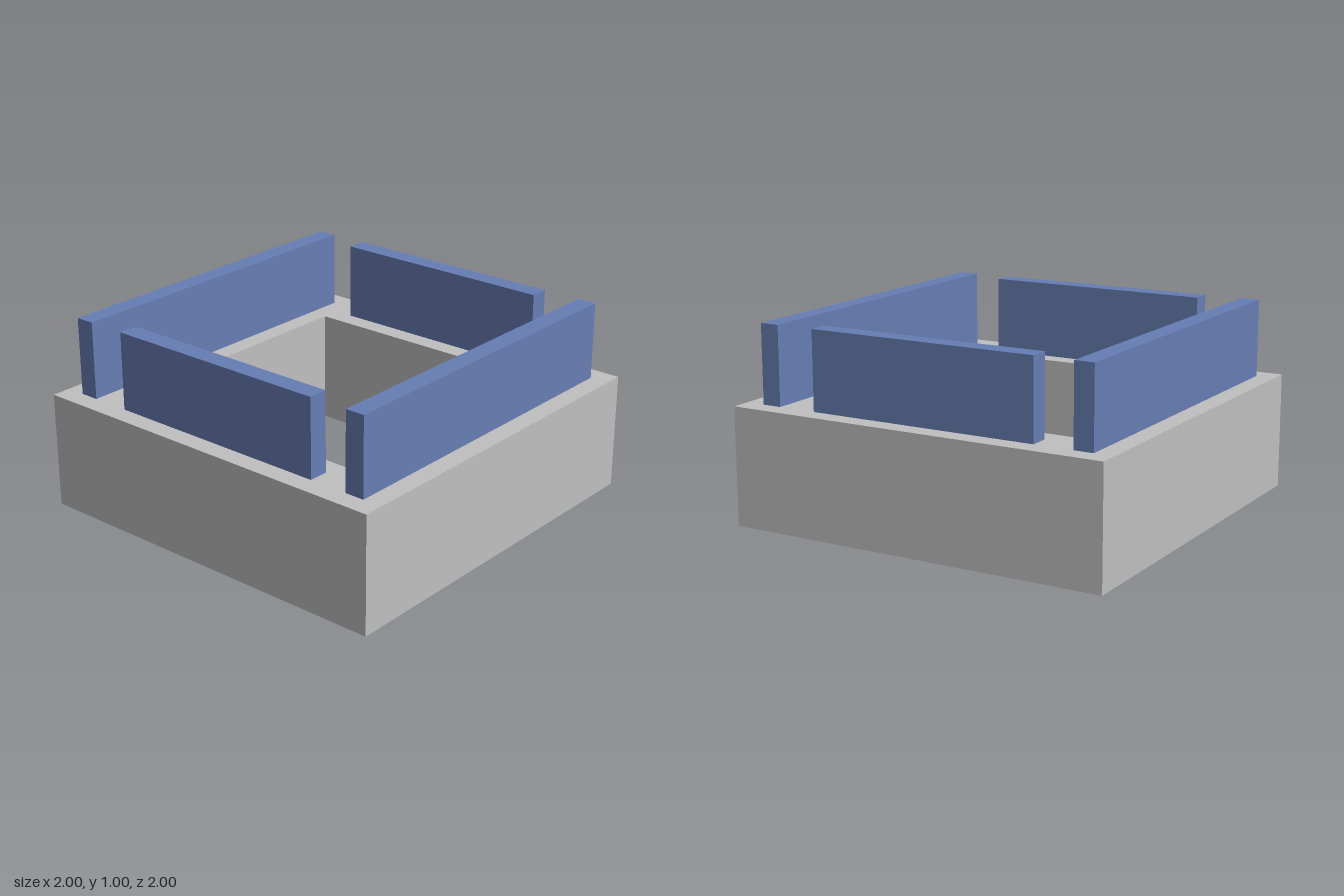
import * as THREE from 'three';

const FRAME_HEIGHT = 0.6;
const PANEL_HEIGHT = 1;

// Footprint of each upright panel: [name, x, z, width, depth]
const PANELS = [
  ['frontPanel', 0, 0.85, 1.8, 0.1],
  ['backPanel', 0, -0.85, 1.8, 0.1],
  ['leftPanel', 0.85, 0, 0.1, 1.2],
  ['rightPanel', -0.85, 0, 0.1, 1.2],
];

function rectangle(PathType, x, y, w, h) {
  return new PathType([
    new THREE.Vector2(x - w / 2, y - h / 2),
    new THREE.Vector2(x + w / 2, y - h / 2),
    new THREE.Vector2(x + w / 2, y + h / 2),
    new THREE.Vector2(x - w / 2, y + h / 2),
  ]);
}

export function createModel() {
  const model = new THREE.Group();
  model.name = 'slottedFrameWithPanels';

  const grey = new THREE.MeshStandardMaterial({ color: 0xc0c0c0 });
  grey.name = 'light grey';
  const blue = new THREE.MeshStandardMaterial({ color: 0x677eb4 });
  blue.name = 'slate blue';

  // Square frame with an open centre and a slot for every panel
  const outline = rectangle(THREE.Shape, 0, 0, 2, 2);
  outline.holes.push(rectangle(THREE.Path, 0, 0, 1.4, 1.4));
  for (const [, x, z, w, d] of PANELS) {
    outline.holes.push(rectangle(THREE.Path, x, -z, w, d));
  }
  const frameGeometry = new THREE.ExtrudeGeometry(outline, {
    depth: FRAME_HEIGHT,
    bevelEnabled: false,
  });
  frameGeometry.rotateX(-Math.PI / 2);
  const frame = new THREE.Mesh(frameGeometry, grey);
  frame.name = 'frame';
  model.add(frame);

  // Panels pass through the slots, flush with the underside
  for (const [name, x, z, w, d] of PANELS) {
    const panel = new THREE.Mesh(new THREE.BoxGeometry(w, PANEL_HEIGHT, d), blue);
    panel.name = name;
    panel.position.set(x, PANEL_HEIGHT / 2, z);
    model.add(panel);
  }

  return model;
}
